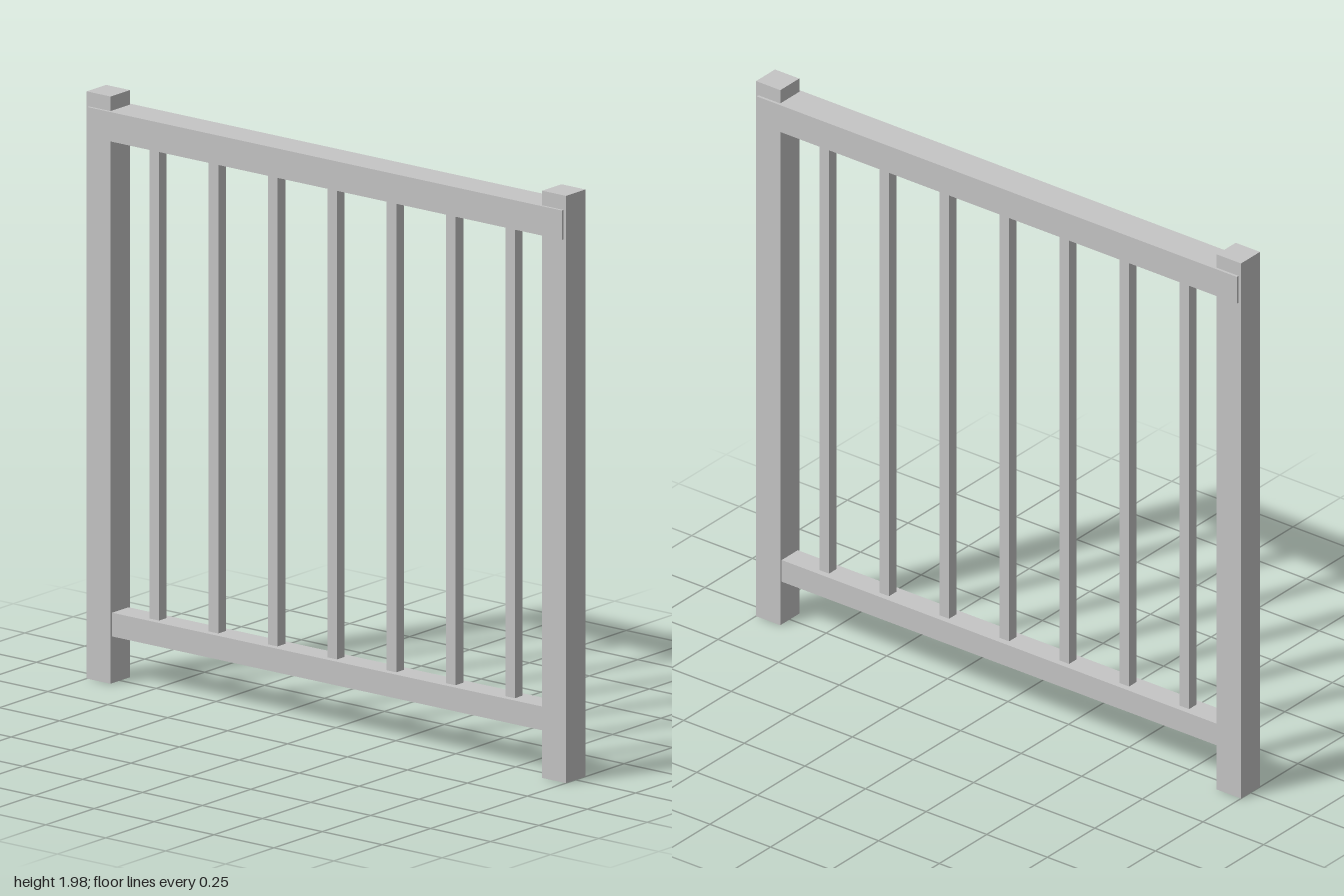
import * as THREE from 'three';

export function createModel() {
  const model = new THREE.Group();
  const paintedGrey = new THREE.MeshStandardMaterial({ color: 0xc5c5c5 });
  paintedGrey.name = 'painted light grey';

  // Box centred on z, spanning y0 to y1
  function bar(name, x, y0, y1, width, depth) {
    const mesh = new THREE.Mesh(new THREE.BoxGeometry(width, y1 - y0, depth), paintedGrey);
    mesh.name = name;
    mesh.position.set(x, (y0 + y1) / 2, 0);
    model.add(mesh);
  }

  // End posts
  bar('leftPost', 0.95, 0, 1.98, 0.1, 0.1);
  bar('rightPost', -0.95, 0, 1.98, 0.1, 0.1);

  // Rails: the handrail wraps the posts, the bottom rail sits between them
  bar('handrail', 0, 1.832, 1.931, 1.98, 0.119);
  bar('bottomRail', 0, 0.158, 0.238, 1.8, 0.085);

  // Seven square balusters, stopping just short of the handrail
  for (let i = -3; i <= 3; i++) {
    bar(`baluster${i + 4}`, i * 0.2475, 0.238, 1.822, 0.04, 0.04);
  }
  return model;
}
